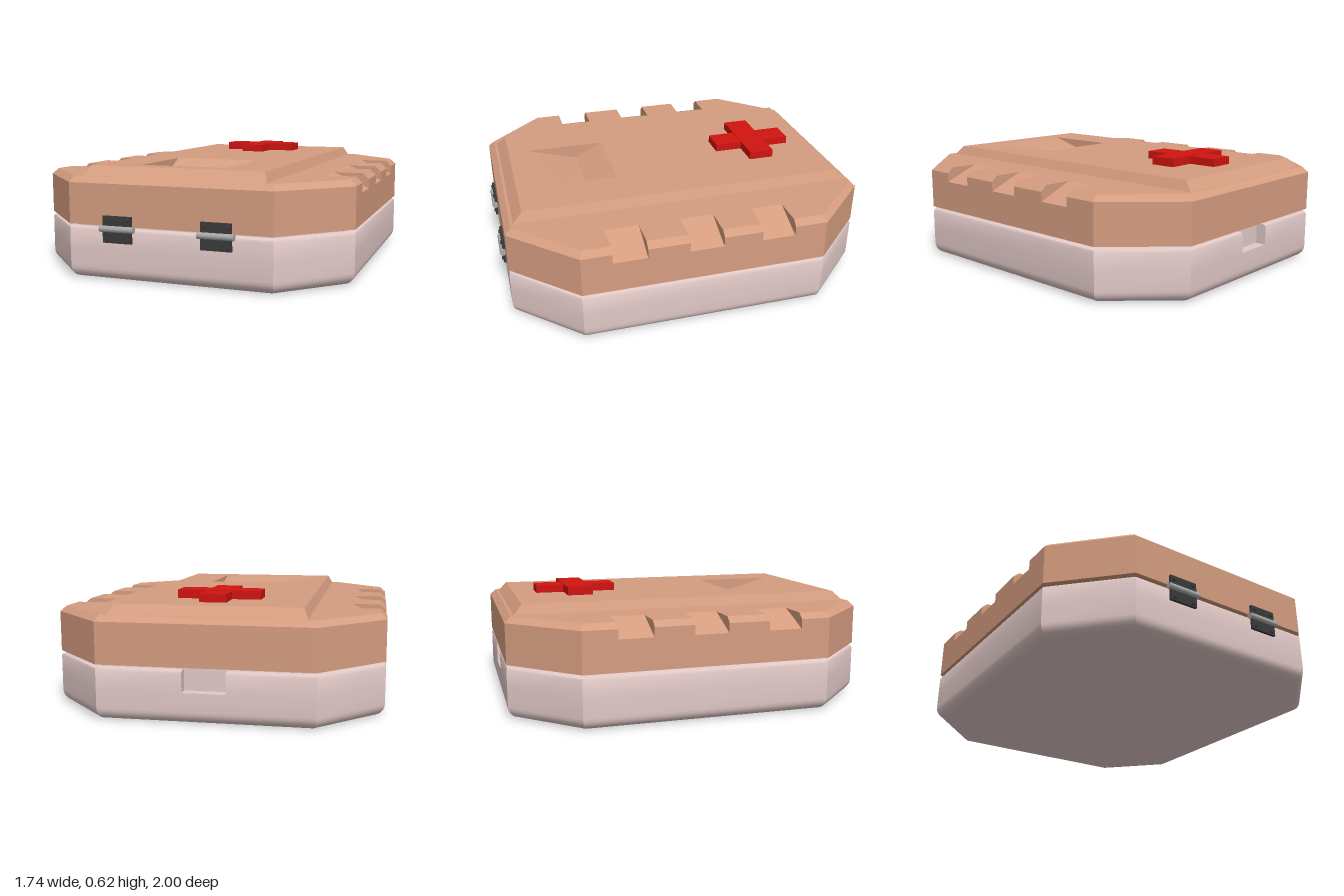
import * as THREE from 'three';
import { toCreasedNormals } from 'three/addons/utils/BufferGeometryUtils.js';

const X = 0.87, FRONT = 0.97, BACK = -1;
const GRIPS = [[0.3, 0.48], [-0.1, 0.08], [-0.49, -0.31]]; // z ranges of the side notches
const GRIP_IN = 0.68, GRIP_Y = 0.45;

// Octagonal outline inset by d, counter-clockwise from above, with optional notches
function outline(d = 0, { grips = false, thumb = false } = {}) {
  const a = 0.55 - 0.414 * d, x = X - d, zf = 0.64 - 0.414 * d, zb = -0.67 + 0.414 * d;
  const right = [], left = [];
  if (grips) for (const [z0, z1] of GRIPS) {
    right.push([x, z1], [GRIP_IN, z1], [GRIP_IN, z0], [x, z0]);
    left.unshift([-x, z0], [-GRIP_IN, z0], [-GRIP_IN, z1], [-x, z1]);
  }
  const t = 0.11, back = BACK + d;
  const cut = thumb ? [[t, back], [t, -0.945], [-t, -0.945], [-t, back]] : [];
  return [[-a, FRONT - d], [a, FRONT - d], [x, zf], ...right, [x, zb], [a, back],
    ...cut, [-a, back], [-x, zb], ...left, [-x, zf]];
}

const rect = (x, z0, z1) => [[-x, z1], [x, z1], [x, z0], [-x, z0]];

// Collects polygons as triangle fans
class Surface {
  constructor() { this.v = []; }
  poly(...p) {
    for (let i = 1; i < p.length - 1; i++) this.v.push(...p[0], ...p[i], ...p[i + 1]);
  }
  // Walls through a stack of [y, outline] rings
  loft(rings) {
    for (let k = 0; k < rings.length - 1; k++) {
      const [y0, r0] = rings[k], [y1, r1] = rings[k + 1], n = r0.length;
      for (let i = 0; i < n; i++) {
        const j = (i + 1) % n;
        this.poly([r0[i][0], y0, r0[i][1]], [r0[j][0], y0, r0[j][1]],
          [r1[j][0], y1, r1[j][1]], [r1[i][0], y1, r1[i][1]]);
      }
    }
  }
  // Flat face at height y, optionally with a hole
  cap(y, points, { hole, down = false } = {}) {
    const toPath = (pts) => pts.map(([x, z]) => new THREE.Vector2(x, -z));
    const shape = new THREE.Shape(toPath(points));
    if (hole) shape.holes.push(new THREE.Path(toPath(hole)));
    const g = new THREE.ShapeGeometry(shape).toNonIndexed(), p = g.attributes.position;
    for (let i = 0; i < p.count; i += 3) {
      for (const k of down ? [0, 2, 1] : [0, 1, 2]) this.v.push(p.getX(i + k), y, -p.getY(i + k));
    }
  }
  geometry(crease) {
    const g = new THREE.BufferGeometry();
    g.setAttribute('position', new THREE.Float32BufferAttribute(this.v, 3));
    g.computeVertexNormals();
    return toCreasedNormals(g, crease);
  }
}

const paint = (color) => new THREE.MeshStandardMaterial({ color });

function add(parent, name, geometry, material, x = 0, y = 0, z = 0) {
  const mesh = new THREE.Mesh(geometry, material);
  mesh.name = name;
  mesh.position.set(x, y, z);
  parent.add(mesh);
  return mesh;
}

// Lower tray with rounded bottom edge and a thumb notch at the back
function baseGeometry() {
  const s = new Surface(), r = 0.065, rings = [];
  for (let i = 0; i <= 6; i++) {
    const t = (i / 6) * Math.PI / 2;
    rings.push([r * (1 - Math.cos(t)), outline(r * (1 - Math.sin(t)))]);
  }
  const floorY = 0.16;
  rings.push([floorY, outline()]);
  s.loft(rings);
  s.cap(0, rings[0][1], { down: true });
  const cut = (d) => outline(d, { thumb: true });
  s.loft([[floorY, cut(0)], [0.255, cut(0)], [0.266, cut(0.005)], [0.27, cut(0.017)]]);
  s.cap(0.27, cut(0.017));
  s.cap(floorY, rect(0.11, BACK, -0.945));
  return s.geometry(0.6);
}

// Upper lid with sloped side notches, raised panel and finger recess
function lidGeometry() {
  const s = new Surface(), topY = 0.53, panelY = 0.58;
  s.cap(0.285, outline(), { down: true });
  s.loft([[0.285, outline()], [GRIP_Y, outline()]]);
  const cut = (d) => outline(d, { grips: true });
  s.loft([[GRIP_Y, cut(0)], [0.5, cut(0)], [topY, cut(0.033)]]);
  for (const [z0, z1] of GRIPS) {
    for (const m of [1, -1]) {
      const ramp = [[m * GRIP_IN, topY, z1], [m * X, GRIP_Y, z1], [m * X, GRIP_Y, z0], [m * GRIP_IN, topY, z0]];
      s.poly(...(m > 0 ? ramp : ramp.reverse()));
    }
  }

  // Raised panel
  const foot = rect(0.5, -0.95, 0.92), crown = rect(0.475, -0.905, 0.87);
  s.cap(topY, cut(0.033), { hole: foot });
  s.loft([[topY, foot], [panelY, crown]]);

  // Recess: steep rear slope, gentle front slope, triangular ends
  const w = 0.235, A = [panelY, 0.31], B = [0.5, 0.47], C = [panelY, 0.76];
  s.cap(panelY, crown, { hole: rect(w, A[1], C[1]) });
  s.poly([-w, ...B], [w, ...B], [w, ...A], [-w, ...A]);
  s.poly([-w, ...C], [w, ...C], [w, ...B], [-w, ...B]);
  s.poly([w, ...A], [w, ...B], [w, ...C]);
  s.poly([-w, ...A], [-w, ...C], [-w, ...B]);
  return s.geometry(0.3);
}

function hinge(x) {
  const g = new THREE.Group();
  g.name = 'hinge';
  const dark = paint(0x3a3a3a), steel = paint(0xa8a8a8);
  add(g, 'upperLeaf', new THREE.BoxGeometry(0.16, 0.06, 0.02), dark, 0, 0.308, 0.975);
  add(g, 'lowerLeaf', new THREE.BoxGeometry(0.16, 0.07, 0.02), dark, 0, 0.235, 0.975);
  const pin = add(g, 'hingePin', new THREE.CylinderGeometry(0.017, 0.017, 0.19, 16), steel, 0, 0.272, 0.983);
  pin.rotation.z = Math.PI / 2;
  for (const sx of [-1, 1]) for (const y of [0.22, 0.32]) {
    const screw = add(g, 'screw', new THREE.CylinderGeometry(0.009, 0.012, 0.008, 10), dark, sx * 0.058, y, 0.988);
    screw.rotation.x = Math.PI / 2;
  }
  g.position.x = x;
  return g;
}

export function createModel() {
  const model = new THREE.Group();
  model.name = 'medicalCase';
  const shell = paint(0xe2cac8), lidPaint = paint(0xd59d80), red = paint(0xd01410);

  add(model, 'base', baseGeometry(), shell);

  // Recessed seam between the halves
  const seam = new Surface();
  seam.loft([[0.265, outline(0.055)], [0.29, outline(0.055)]]);
  add(model, 'seam', seam.geometry(0.3), shell);

  add(model, 'lid', lidGeometry(), lidPaint);

  // Raised cross
  add(model, 'crossBar', new THREE.BoxGeometry(0.445, 0.045, 0.14), red, 0, 0.6025, -0.555);
  add(model, 'crossUpright', new THREE.BoxGeometry(0.14, 0.042, 0.45), red, 0, 0.601, -0.555);

  for (const x of [-0.27, 0.265]) model.add(hinge(x));
  return model;
}
